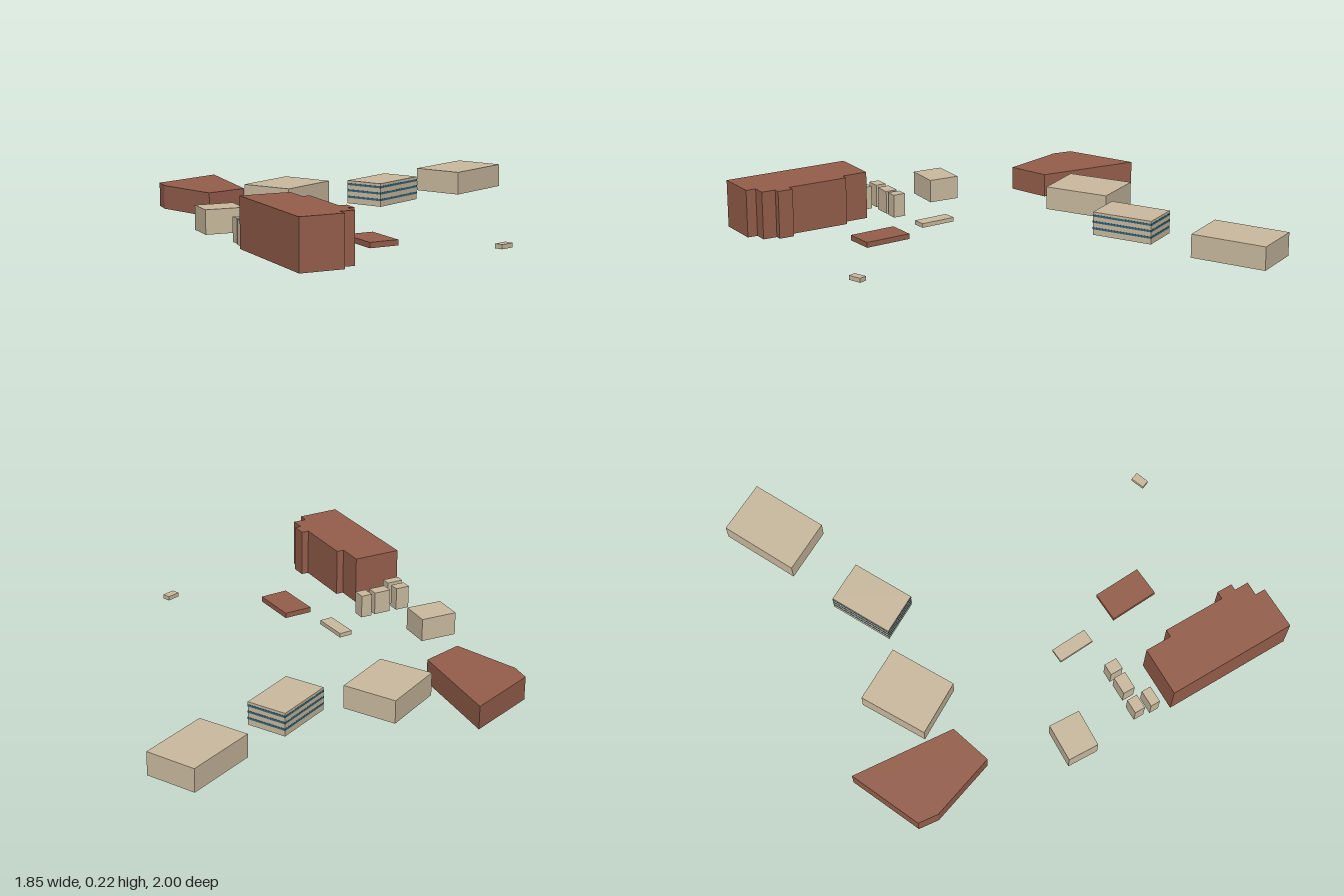
import * as THREE from 'three';

const brick = new THREE.MeshStandardMaterial({ color: 0x965f4c });
const stone = new THREE.MeshStandardMaterial({ color: 0xcbbba0 });
const glass = new THREE.MeshStandardMaterial({ color: 0x2f667c });

const toPoints = (plan) => plan.map(([x, z]) => new THREE.Vector2(x, -z));

// Extrudes a ground plan of [x, z] corners upward, optionally with a hollow core
function block(name, plan, height, material, y = 0, core = null) {
  const shape = new THREE.Shape(toPoints(plan));
  if (core) shape.holes.push(new THREE.Path(toPoints(core)));
  const geometry = new THREE.ExtrudeGeometry(shape, { depth: height, bevelEnabled: false });
  geometry.rotateX(-Math.PI / 2);
  const mesh = new THREE.Mesh(geometry, material);
  mesh.name = name;
  mesh.position.y = y;
  return mesh;
}

// Scales a plan about its centre
function grow(plan, factor) {
  const cx = plan.reduce((sum, p) => sum + p[0], 0) / plan.length;
  const cz = plan.reduce((sum, p) => sum + p[1], 0) / plan.length;
  return plan.map(([x, z]) => [cx + (x - cx) * factor, cz + (z - cz) * factor]);
}

const rect = (x0, x1, z0, z1) => [[x0, z0], [x1, z0], [x1, z1], [x0, z1]];

export function createModel() {
  const model = new THREE.Group();
  model.name = 'buildingComplex';
  const low = 0.11;

  // Tall main hall with a stepped side
  model.add(block('mainHall', [
    [-0.92, 0.39], [-0.69, 0.39], [-0.69, 0.515], [-0.655, 0.515], [-0.655, 0.807],
    [-0.62, 0.807], [-0.62, 0.88], [-0.65, 0.88], [-0.65, 0.947], [-0.715, 0.947],
    [-0.715, 0.995], [-0.915, 1.0],
  ], 0.225, brick));

  // Five-sided brick building
  model.add(block('angledHall', [
    [-0.50, -1.0], [-0.83, -0.855], [-0.84, -0.76], [-0.735, -0.45], [-0.54, -0.51],
  ], low, brick));

  // Row of turned stone blocks
  model.add(block('westBlock',
    [[-0.21, -0.79], [-0.49, -0.63], [-0.36, -0.405], [-0.085, -0.56]], low, stone));
  model.add(block('eastBlock',
    [[0.81, -0.93], [0.485, -0.765], [0.60, -0.545], [0.92, -0.71]], low, stone));

  // Middle block with window bands on every side
  const middlePlan = [[0.263, -0.675], [0.0, -0.535], [0.093, -0.365], [0.353, -0.505]];
  const middle = new THREE.Group();
  middle.name = 'middleBlock';
  middle.add(block('middleWalls', middlePlan, low, stone));
  for (const y of [0.032, 0.063, 0.093]) {
    middle.add(block('windowBand', grow(middlePlan, 1.008), 0.01, glass, y - 0.005, middlePlan));
  }
  model.add(middle);

  // Square stone house
  model.add(block('squareHouse',
    [[-0.92, -0.143], [-0.743, -0.138], [-0.75, 0.01], [-0.925, 0.003]], low, stone));

  // Cluster of narrow sheds beside the main hall
  const sheds = [
    [-0.885, -0.817, 0.22, 0.27], [-0.783, -0.7, 0.223, 0.28],
    [-0.68, -0.626, 0.22, 0.28], [-0.894, -0.815, 0.297, 0.342],
  ];
  for (const bounds of sheds) model.add(block('shed', rect(...bounds), low, stone));

  // Low slabs
  model.add(block('stoneSlab',
    [[-0.49, 0.077], [-0.425, 0.072], [-0.415, 0.245], [-0.48, 0.25]], 0.02, stone));
  model.add(block('brickSlab',
    [[-0.44, 0.387], [-0.302, 0.38], [-0.29, 0.605], [-0.427, 0.615]], 0.025, brick));
  model.add(block('smallSlab',
    [[0.043, 0.845], [0.105, 0.822], [0.118, 0.858], [0.057, 0.88]], 0.02, stone));

  return model;
}
